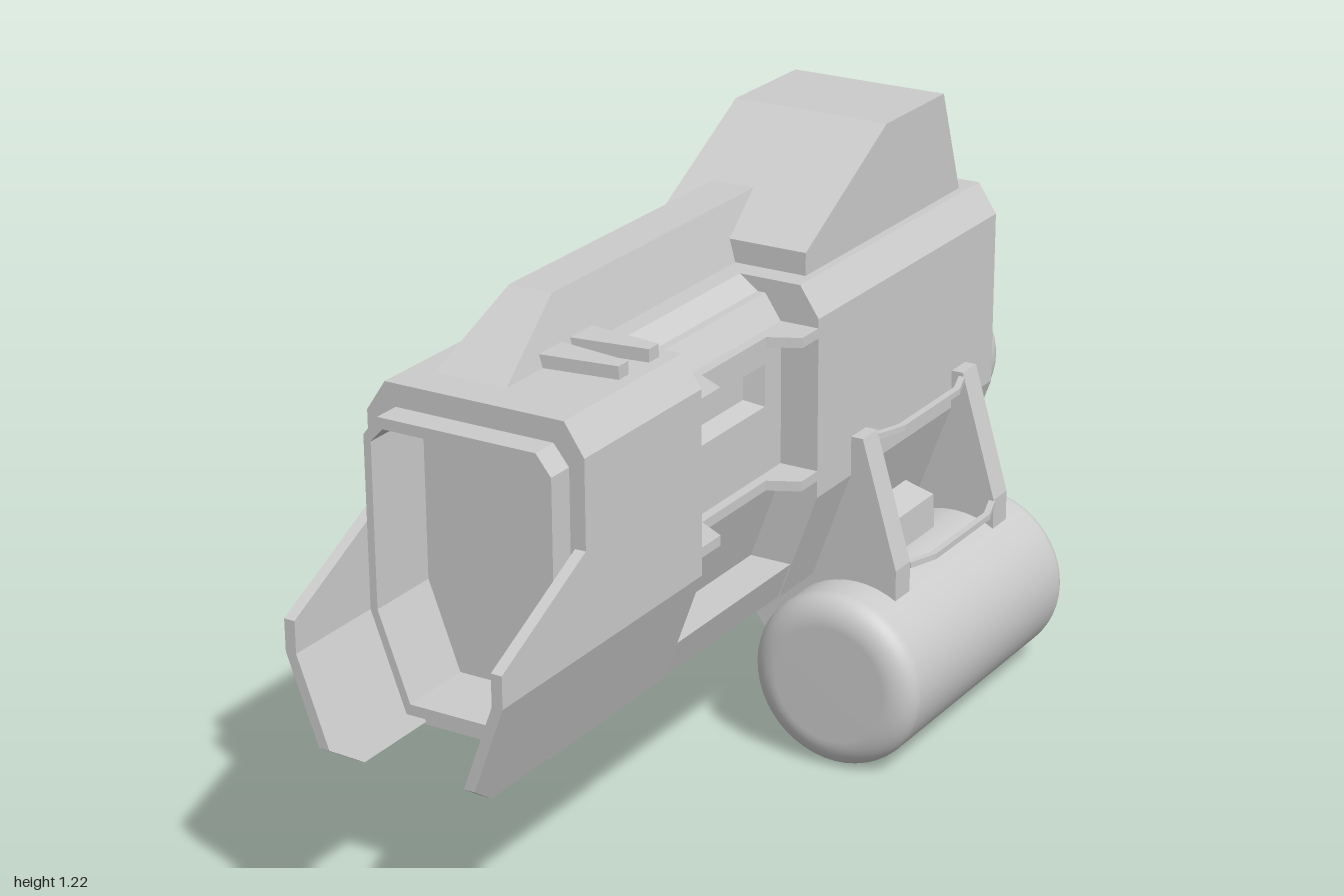
import * as THREE from 'three';
import { ConvexGeometry } from 'three/addons/geometries/ConvexGeometry.js';

const flat = new THREE.MeshStandardMaterial({ color: 0xcccccc, flatShading: true });
const smooth = new THREE.MeshStandardMaterial({ color: 0xcccccc });
const shapeOf = (pts, hole) => {
  const s = new THREE.Shape(pts.map(p => new THREE.Vector2(...p)));
  if (hole) s.holes.push(new THREE.Path(hole.map(p => new THREE.Vector2(...p))));
  return s;
};
const extrude = (pts, depth, hole) =>
  new THREE.ExtrudeGeometry(shapeOf(pts, hole), { depth, bevelEnabled: false });
// points are (x, y), extruded from z0 to z1
const alongZ = (pts, z0, z1, hole) => extrude(pts, z1 - z0, hole).translate(0, 0, z0);
// points are (z, y), extruded from x0 to x1
const alongX = (pts, x0, x1) => extrude(pts, x1 - x0).rotateY(-Math.PI / 2).translate(x1, 0, 0);
// points are (x, z), extruded from y0 to y1
const alongY = (pts, y0, y1) =>
  extrude(pts.map(([x, z]) => [x, -z]), y1 - y0).rotateX(-Math.PI / 2).translate(0, y0, 0);
const rect = (x0, y0, x1, y1) => [[x0, y0], [x1, y0], [x1, y1], [x0, y1]];
// move vertices by a rule
const warp = (geo, rule) => {
  const p = geo.attributes.position, v = new THREE.Vector3();
  for (let i = 0; i < p.count; i++) {
    rule(v.fromBufferAttribute(p, i));
    p.setXYZ(i, v.x, v.y, v.z);
  }
  geo.computeVertexNormals();
  return geo;
};
const hull = pts => new ConvexGeometry(pts.map(p => new THREE.Vector3(...p)));

// eight-sided body section, shrunk by d
const CX = -0.075;
const section = (d) => {
  const w = 0.225 - d, t = 0.185 - d * 0.7, b = 0.143 - d * 0.6;
  const half = [[b, 0.355 + d * 1.4], [w, 0.58 + d * 0.2], [w, 0.94 - d * 0.7], [t, 1.0 - d * 1.4]];
  return [...half, ...half.map(([x, y]) => [-x, y]).reverse()].map(([x, y]) => [x + CX, y]);
};

// closed cylinder along z with elliptically rounded rims
const tank = (r, z0, z1, rx, rz) => {
  const rim = Array.from({ length: 9 }, (_, i) => {
    const a = i / 8 * Math.PI / 2;
    return [r - rx + rx * Math.sin(a), rz * (1 - Math.cos(a))];
  });
  const profile = [[0, z0], ...rim.map(([x, z]) => [x, z0 + z]),
    ...rim.map(([x, z]) => [x, z1 - z]).reverse(), [0, z1]];
  return new THREE.LatheGeometry(profile.map(p => new THREE.Vector2(...p)), 48).rotateX(Math.PI / 2);
};

export function createModel() {
  const model = new THREE.Group();
  const add = (name, geo, mat = flat) => {
    const m = new THREE.Mesh(geo, mat);
    m.name = name;
    model.add(m);
    return m;
  };

  // main body: rear block, notched middle, front block and hollow muzzle
  const ring = (d, z) => section(d).map(([x, y]) => [x, y, z]);
  add('rearBody', hull([...ring(0, -0.06), ...ring(0, -0.785), ...ring(0.014, -0.81)]));
  add('middleBody', alongZ([
    [0.065, 0.355], [0.093, 0.43], [0.005, 0.43], [0.07, 0.605], [0.07, 0.77], [0.03, 0.78],
    [0.03, 0.837], [0.07, 0.855], [0.07, 0.92], [0.035, 0.972], [0.018, 0.972], [-0.02, 1.0],
    [-0.26, 1.0], [-0.3, 0.94], [-0.3, 0.58], [-0.218, 0.355]], -0.06, 0.36));
  add('frontBody', alongZ(section(0), 0.36, 0.64));
  add('muzzleShell', alongZ(section(0), 0.64, 0.74, section(0.046)));
  add('muzzleRim', alongZ(section(0.031), 0.74, 0.795, section(0.046)));

  // side notch: bevelled slot ends and two cut-back rails
  for (const [z0, z1, z2] of [[-0.06, 0.0, 0.013], [0.36, 0.3, 0.287]])
    add('slotEnd', alongY([[0.02, z0], [0.07, z0], [0.07, z1], [0.03, z2], [0.02, z2]], 0.77, 0.855));
  for (const y of [0.615, 0.902])
    add('notchRail', alongY([[0.06, -0.06], [0.15, -0.06], [0.15, 0.0], [0.09, 0.03],
      [0.09, 0.26], [0.15, 0.295], [0.15, 0.36], [0.06, 0.36]], y, y + 0.02));

  // muzzle fins, bent along the lower slope of the body
  for (const s of [1, -1]) {
    const outer = CX + s * 0.225, inner = outer - s * 0.022;
    const x0 = Math.min(outer, inner), x1 = Math.max(outer, inner);
    add('finUpper', alongX([[0.72, 0.77], [0.74, 0.77], [1, 0.642], [1, 0.58], [0.72, 0.58]], x0, x1));
    add('finLower', warp(
      alongX([[0.72, 0.58], [1, 0.58], [1, 0.41], [0.925, 0.36], [0.72, 0.36]], x0, x1),
      v => { v.x -= s * (0.58 - v.y) * 0.365; }));
  }

  // top rail with sloped nose
  const railEnd = (zb, zt) => [[-0.21, 1, zb], [-0.06, 1, zb], [-0.09, 1.11, zt], [-0.18, 1.11, zt]];
  add('topRail', hull([...railEnd(-0.235, -0.235), ...railEnd(0.66, 0.47)]));

  // tapered ribs beside the rail
  for (const z of [0.413, 0.512])
    add('topRib', alongY([[-0.08, z - 0.038], [0.085, z - 0.016], [0.085, z + 0.016], [-0.08, z + 0.038]], 0.99, 1.025));

  // sight housing with a recessed window in its sloped rear
  add('sightHousing', alongX([[-0.11, 0.99], [-0.11, 1.045], [-0.42, 1.215], [-0.63, 1.215],
    [-0.705, 1.0], [-0.705, 0.99]], -0.243, 0.093));
  add('sightWindowFrame', warp(
    alongZ(rect(-0.243, 1.0, 0.093, 1.215), -0.73, -0.705, rect(-0.21, 1.03, 0.06, 1.17)),
    v => { v.z += (v.y - 1) * 0.349; }));

  // long panel on the plain side
  add('sidePanel', alongY([[-0.29, -0.5], [-0.345, -0.475], [-0.345, 0.405], [-0.29, 0.43]], 0.72, 0.89));

  // rear cap and its two ribs
  add('rearCap', tank(0.153, -1.0, -0.75, 0.06, 0.05), smooth).position.set(-0.08, 0.562, 0);
  for (const x of [-0.19, -0.01])
    add('rearRib', alongX([[-0.8, 0.945], [-0.84, 0.945], [-0.917, 0.85], [-0.917, 0.66], [-0.8, 0.66]], x, x + 0.046));

  // slung tank and its brackets
  add('tank', tank(0.18, -0.775, -0.085, 0.06, 0.045), smooth).position.set(0.165, 0.18, 0);
  for (const z of [-0.25, -0.665])
    add('tankBracket', alongZ([[0.13, 0.66], [0.175, 0.66], [0.252, 0.4], [0.252, 0.3], [0.02, 0.205],
      [-0.03, 0.205], [-0.122, 0.32], [-0.122, 0.37], [0.06, 0.37]], z, z + 0.058));
  add('tankMount', alongZ([[0.05, 0.33], [0.05, 0.4], [0.09, 0.45], [0.165, 0.43], [0.17, 0.33]], -0.51, -0.35));

  // bowed bars joining the brackets
  for (const [x, y] of [[0.175, 0.64], [0.25, 0.386]]) {
    const path = [[-0.01, -0.61], [0.012, -0.545], [0.012, -0.315], [-0.01, -0.25]];
    add('bracketBar', alongY([...path.map(([a, z]) => [x + a + 0.014, z]),
      ...path.map(([a, z]) => [x + a, z]).reverse()], y, y + 0.012));
  }
  return model;
}
